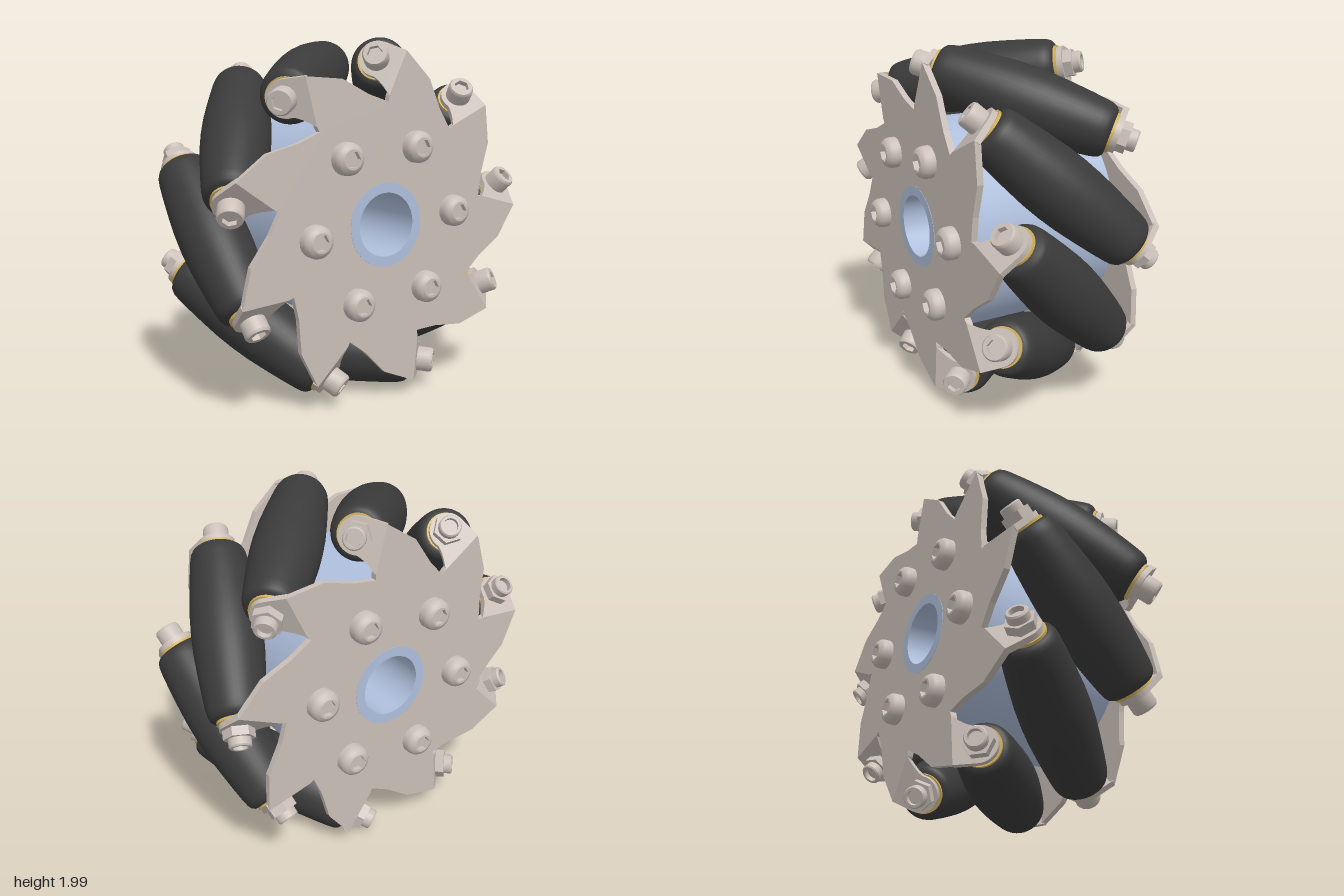
import * as THREE from 'three';
import { toCreasedNormals } from 'three/addons/utils/BufferGeometryUtils.js';

const COUNT = 9;                      // rollers and plate arms
const STEP = (Math.PI * 2) / COUNT;
const START = THREE.MathUtils.degToRad(64.6);
const AXIS_R = 0.8;                   // distance of roller axes from the centre
const PLATE_Z = 0.48, THICK = 0.035, FOLD = 0.285;

const material = (name, color) => {
  const m = new THREE.MeshStandardMaterial({ color, side: THREE.DoubleSide });
  m.name = name;
  return m;
};

function add(parent, name, geometry, mat) {
  const mesh = new THREE.Mesh(geometry, mat);
  mesh.name = name;
  parent.add(mesh);
  return mesh;
}

const lathe = (points, segments = 32) => toCreasedNormals(
  new THREE.LatheGeometry(points.map(([r, y]) => new THREE.Vector2(r, y)), segments), 0.6);

const polygon = (r, sides) => Array.from({ length: sides }, (_, i) => {
  const a = (i / sides) * Math.PI * 2;
  return new THREE.Vector2(r * Math.cos(a), r * Math.sin(a));
});

// Screw head standing on y = 0, with a recessed socket in its top
function screwHead(name, profile, socketR, sides, mat) {
  const group = new THREE.Group();
  group.name = name;
  const [topR, height] = profile[profile.length - 1];
  const depth = 0.035;
  add(group, 'headBody', lathe(profile, 24), mat);
  const rim = new THREE.Shape(polygon(topR, 24));
  rim.holes.push(new THREE.Path(polygon(socketR, sides).reverse()));
  const top = add(group, 'headRim', new THREE.ShapeGeometry(rim), mat);
  top.rotation.x = -Math.PI / 2;
  top.position.y = height;
  const well = new THREE.ExtrudeGeometry(
    new THREE.Shape(polygon(socketR, sides)), { depth: 0.005, bevelEnabled: false });
  const floor = add(group, 'socketFloor', well, mat);
  floor.rotation.x = -Math.PI / 2;
  floor.position.y = height - depth;
  // inward-facing socket wall
  const wall = new THREE.CylinderGeometry(socketR, socketR, depth, sides, 1, true);
  wall.rotateY(Math.PI / 2);
  add(group, 'socketWall', toCreasedNormals(wall, 0.6), mat).position.y = height - depth / 2;
  return group;
}

// Flat plate with slanted arms, bored for the hub collar
function plateGeometry() {
  const arm = [
    [0.621, -0.201], [0.707, -0.063], [0.826, 0.077],
    [0.893, FOLD], [0.63, FOLD], [0.602, 0.277], [0.597, 0.262],
  ];
  const points = [];
  for (let i = 0; i < COUNT; i++) {
    for (const [u, s] of arm) {
      points.push(new THREE.Vector2(u, s).rotateAround(new THREE.Vector2(), START + i * STEP));
    }
  }
  const shape = new THREE.Shape(points);
  shape.holes.push(new THREE.Path(polygon(0.225, 48).reverse()));
  return new THREE.ExtrudeGeometry(shape, { depth: THICK, bevelEnabled: false });
}

// Bent lug with a round end, drawn from the fold line outward
function tabGeometry() {
  const shape = new THREE.Shape();
  shape.moveTo(0.63, 0);
  shape.lineTo(0.893, 0);
  shape.lineTo(0.9, 0.12);
  shape.absarc(AXIS_R, 0.134, 0.1, 0, Math.PI * 1.05, false);
  shape.quadraticCurveTo(0.69, 0.07, 0.63, 0);
  const g = new THREE.ExtrudeGeometry(shape, { depth: THICK, bevelEnabled: false, curveSegments: 20 });
  g.translate(0, 0, -THICK);
  return toCreasedNormals(g, 0.6);
}

export function createModel() {
  const steel = material('warm grey steel', 0xcabfb8);
  const blue = material('pale blue hub', 0xafbfdc);
  const rubber = material('black rubber', 0x3a3a3a);
  const brass = material('brass', 0xd2b15c);

  const wheel = new THREE.Group();
  wheel.name = 'rollerWheel';
  wheel.position.set(-0.01, 0.995, 0);

  // Hub drum with stepped collars and a through bore
  const hub = add(wheel, 'hub', lathe([
    [0.175, -0.482], [0.23, -0.482], [0.23, -0.446], [0.6, -0.446],
    [0.6, 0.446], [0.23, 0.446], [0.23, 0.482], [0.175, 0.482], [0.175, -0.482],
  ], 64), blue);
  hub.rotation.x = Math.PI / 2;

  // Two side plates; the back one is the front turned about an arm's radial line
  const plateGeo = plateGeometry(), tabGeo = tabGeometry();
  for (const side of ['front', 'back']) {
    const plate = new THREE.Group();
    plate.name = side + 'Plate';
    add(plate, 'plateDisc', plateGeo, steel).position.z = PLATE_Z - THICK;
    for (let i = 0; i < COUNT; i++) {
      const arm = new THREE.Group();
      arm.name = 'plateArm';
      arm.rotation.z = START + i * STEP;
      const tab = add(arm, 'bentTab', tabGeo, steel);
      tab.position.set(0, FOLD, PLATE_Z);
      tab.rotation.x = -Math.PI / 4;
      plate.add(arm);
    }
    if (side === 'back') {
      const axis = new THREE.Vector3(Math.cos(START), Math.sin(START), 0);
      plate.quaternion.setFromAxisAngle(axis, Math.PI);
    }
    wheel.add(plate);
  }

  // Six domed bolts on each side
  const dome = [[0.088, 0], [0.088, 0.035], [0.084, 0.052], [0.073, 0.067], [0.054, 0.077]];
  for (let i = 0; i < 6; i++) {
    const a = THREE.MathUtils.degToRad(5.5 + i * 60);
    for (const s of [1, -1]) {
      const bolt = screwHead('hubBolt', dome, 0.046, 6, steel);
      bolt.position.set(0.456 * Math.cos(a), 0.456 * Math.sin(a), s * PLATE_Z);
      bolt.rotation.x = s * Math.PI / 2;
      wheel.add(bolt);
    }
  }

  // Barrel rollers on axles slanted at 45 degrees
  const half = [[0.1, 0.495], [0.122, 0.491], [0.139, 0.477], [0.149, 0.455],
    [0.156, 0.42], [0.167, 0.33], [0.178, 0.22], [0.187, 0.11]];
  const barrel = lathe([
    ...half.map(([r, y]) => [r, -y]), [0.19, 0], ...half.slice().reverse(),
  ], 40);
  const bushing = new THREE.CylinderGeometry(0.108, 0.108, 0.03, 32);
  const nut = new THREE.CylinderGeometry(0.084, 0.084, 0.05, 6);
  const cap = [[0.07, 0], [0.07, 0.075], [0.062, 0.088]];
  const tip = [[0.06, 0], [0.06, 0.04], [0.053, 0.048]];
  for (let i = 0; i < COUNT; i++) {
    const spoke = new THREE.Group();
    spoke.name = 'rollerMount';
    spoke.rotation.z = START + i * STEP;
    const axle = new THREE.Group();
    axle.name = 'rollerAssembly';
    axle.position.x = AXIS_R;
    axle.rotation.x = Math.PI / 4;
    add(axle, 'roller', barrel, rubber);
    for (const s of [1, -1]) add(axle, 'bushing', bushing, brass).position.y = s * 0.494;
    const head = screwHead('axleScrewHead', cap, 0.042, 6, steel);
    head.position.y = 0.54;
    axle.add(head);
    add(axle, 'axleNut', toCreasedNormals(nut, 0.6), steel).position.y = -0.565;
    const end = screwHead('axleTip', tip, 0.04, 16, steel);
    end.position.y = -0.59;
    end.rotation.x = Math.PI;
    axle.add(end);
    spoke.add(axle);
    wheel.add(spoke);
  }

  const model = new THREE.Group();
  model.name = 'model';
  model.add(wheel);
  return model;
}
